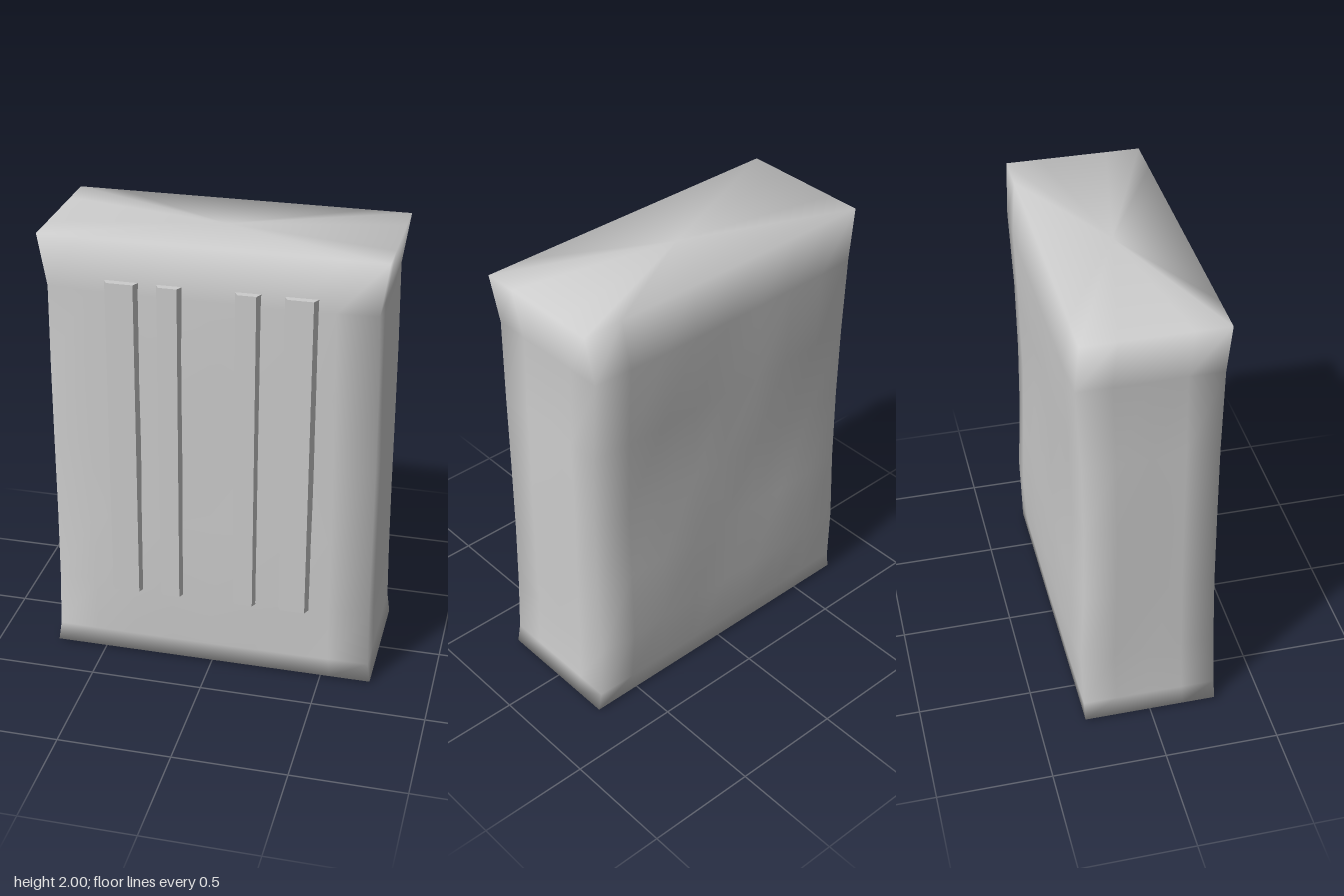
import * as THREE from 'three';

const paper = new THREE.MeshStandardMaterial({ color: 0xcccccc });
paper.name = 'grey paper';

// Height, half width, front z, back z, and corner pull-in of each level of the sack
const LEVELS = [
  [0.01, 0.725, 0.295, -0.295, 0],
  [0.1, 0.712, 0.297, -0.302, 0.006],
  [0.36, 0.706, 0.308, -0.322, 0.025],
  [0.7, 0.705, 0.307, -0.312, 0.033],
  [1.05, 0.705, 0.305, -0.308, 0.033],
  [1.4, 0.703, 0.306, -0.312, 0.03],
  [1.77, 0.695, 0.304, -0.325, 0.02],
  [2.0, 0.73, 0.293, -0.302, 0],
];
const COLS = 8;
const ROWS = 4;

// Soft creases, fading at the rims
function crease(a, y) {
  const fade = Math.sin(Math.PI * Math.min(1, Math.max(0, y / 2)));
  return fade * Math.sin(a * 7.3 + y * 2.1) * Math.cos(a * 2.9 - y * 4.3);
}

// One closed loop around the sack, anticlockwise from the front left corner as seen from the front
function ring([y, w, zf, zb, pull]) {
  const pts = [];
  const bulge = (u) => pull * Math.pow(Math.abs(u), 4);
  for (let i = 0; i < COLS; i++) {
    const u = -1 + (2 * i) / COLS;
    pts.push([u * w, y, zf - bulge(u) + 0.003 * crease(u, y)]);
  }
  for (let j = 0; j < ROWS; j++) {
    const t = j / ROWS;
    const x = w + (j ? 0.006 * crease(t + 3, y) : 0);
    pts.push([x, y, THREE.MathUtils.lerp(zf - pull, zb + pull * 0.6, t)]);
  }
  for (let i = 0; i < COLS; i++) {
    const u = 1 - (2 * i) / COLS;
    pts.push([u * w, y, zb + 0.6 * bulge(u) + 0.012 * crease(u + 1, y) * (1 - u * u)]);
  }
  for (let j = 0; j < ROWS; j++) {
    const t = j / ROWS;
    const x = -w - (j ? 0.006 * crease(t + 5, y) : 0);
    pts.push([x, y, THREE.MathUtils.lerp(zb + pull * 0.6, zf - pull, t)]);
  }
  return pts;
}

function makeSack() {
  const positions = [];
  const index = [];
  const n = 2 * (COLS + ROWS);
  LEVELS.forEach((level) => ring(level).forEach((p) => positions.push(...p)));

  // Walls
  for (let k = 0; k < LEVELS.length - 1; k++) {
    for (let i = 0; i < n; i++) {
      const a = k * n + i;
      const b = k * n + ((i + 1) % n);
      index.push(a, b, b + n, a, b + n, a + n);
    }
  }

  // Flat top sharing its rim with the walls
  const top = (LEVELS.length - 1) * n;
  const topMid = positions.length / 3;
  positions.push(0, 2, 0);
  for (let i = 0; i < n; i++) index.push(top + i, top + ((i + 1) % n), topMid);

  // Sunken, crumpled bottom
  const inner = positions.length / 3;
  ring(LEVELS[0]).forEach(([x, , z], i) => {
    positions.push(x * 0.8, 0.04 + 0.025 * Math.sin(i * 2.4), z * 0.7);
  });
  const bottomMid = positions.length / 3;
  positions.push(0, 0, 0);
  for (let i = 0; i < n; i++) {
    const j = (i + 1) % n;
    index.push(j, i, inner + i, j, inner + i, inner + j);
    index.push(inner + j, inner + i, bottomMid);
  }

  const geo = new THREE.BufferGeometry();
  geo.setAttribute('position', new THREE.Float32BufferAttribute(positions, 3));
  geo.setIndex(index);
  geo.computeVertexNormals();
  return geo;
}

// Raised strip with bevelled long sides, leaning slightly to the right at the top
function makeStrip(x0, x1) {
  const shape = new THREE.Shape();
  shape.moveTo(x0, -0.285);
  shape.lineTo(x1, -0.285);
  shape.lineTo(x1 - 0.022, -0.33);
  shape.lineTo(x0 + 0.025, -0.33);
  shape.closePath();
  const geo = new THREE.ExtrudeGeometry(shape, { depth: 1.475, bevelEnabled: false });
  geo.rotateX(-Math.PI / 2);
  geo.translate(0, 0.35, 0);
  // Extrusion now runs upward, with the shape's -y facing the front
  const p = geo.attributes.position;
  for (let i = 0; i < p.count; i++) {
    if (p.getY(i) > 1) p.setX(i, p.getX(i) + 0.008);
  }
  geo.computeVertexNormals();
  return geo;
}

export function createModel() {
  const model = new THREE.Group();
  model.name = 'paperSack';

  const sack = new THREE.Mesh(makeSack(), paper);
  sack.name = 'sackBody';
  model.add(sack);

  const strips = new THREE.Group();
  strips.name = 'frontStrips';
  [[-0.46, -0.3], [-0.24, -0.115], [0.09, 0.215], [0.295, 0.45]].forEach(([a, b], i) => {
    const strip = new THREE.Mesh(makeStrip(a, b), paper);
    strip.name = `strip${i + 1}`;
    strips.add(strip);
  });
  model.add(strips);
  return model;
}
